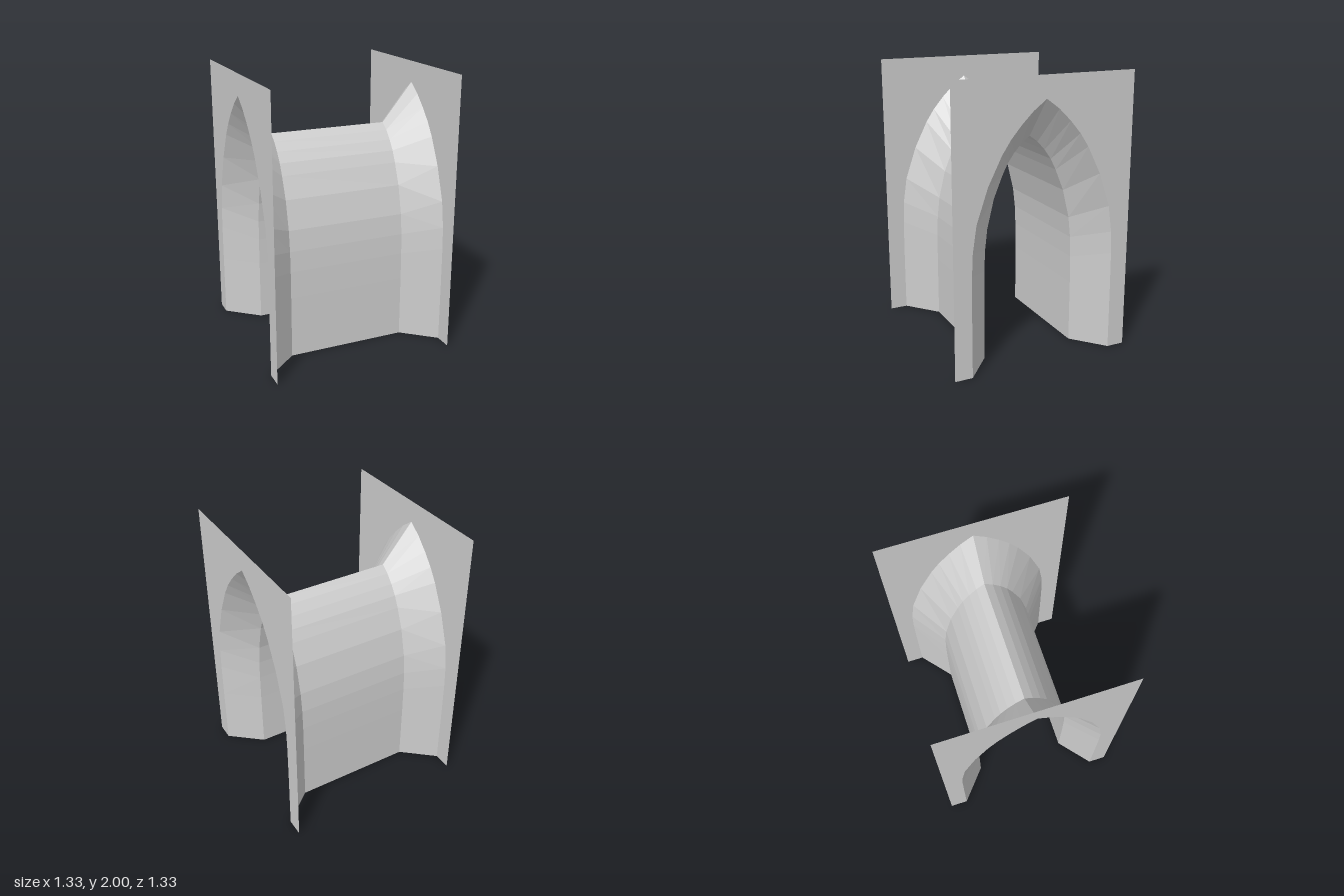
import * as THREE from 'three';

// Half profiles of the pointed arch as [half width, height], floor to apex
const INNER = [[0.343, 0], [0.343, 0.45], [0.341, 0.65], [0.335, 0.8], [0.318, 0.95], [0.268, 1.156],
  [0.205, 1.31], [0.165, 1.39], [0.115, 1.46], [0.06, 1.52], [0, 1.565]];
const OUTER = [[0.537, 0], [0.537, 0.45], [0.535, 0.72], [0.528, 0.88], [0.5, 1.07], [0.418, 1.31],
  [0.32, 1.505], [0.257, 1.6], [0.18, 1.69], [0.094, 1.775], [0, 1.845]];
const INNER_X = 0.435, FACE_X = 0.665, HALF_DEPTH = 0.665, HEIGHT = 2;

// Mirror a half profile into a full arch running from +z to -z
const fullArch = (half) => [...half, ...half.slice(0, -1).reverse().map(([z, y]) => [-z, y])];

// Sheet joining arch a at x = xa to arch b at x = xb
function loft(a, xa, b, xb) {
  const pos = [], index = [];
  a.forEach(([z, y], i) => pos.push(xa, y, z, xb, b[i][1], b[i][0]));
  for (let i = 0; i < a.length - 1; i++) {
    const k = i * 2;
    index.push(k, k + 1, k + 2, k + 1, k + 3, k + 2);
  }
  const g = new THREE.BufferGeometry();
  g.setAttribute('position', new THREE.Float32BufferAttribute(pos, 3));
  g.setIndex(index);
  g.computeVertexNormals();
  return g;
}

export function createModel() {
  const group = new THREE.Group();
  const stone = new THREE.MeshStandardMaterial({ color: 0xcccccc, side: THREE.DoubleSide, flatShading: true });
  stone.name = 'light grey stone';
  const add = (name, geometry) => {
    const mesh = new THREE.Mesh(geometry, stone);
    mesh.name = name;
    group.add(mesh);
    return mesh;
  };
  const inner = fullArch(INNER), outer = fullArch(OUTER);

  // Straight passage between the two splays
  add('passageVault', loft(inner, -INNER_X, inner, INNER_X));

  // Wall face outline, with the arch cut up from the floor
  const wall = new THREE.Shape();
  wall.moveTo(-HALF_DEPTH, 0);
  outer.slice().reverse().forEach(([z, y]) => wall.lineTo(z, y));
  wall.lineTo(HALF_DEPTH, 0);
  wall.lineTo(HALF_DEPTH, HEIGHT);
  wall.lineTo(-HALF_DEPTH, HEIGHT);
  wall.closePath();

  for (const [side, s] of [['left', 1], ['right', -1]]) {
    // Flared opening
    add(side + 'Splay', s > 0 ? loft(inner, INNER_X, outer, FACE_X) : loft(outer, -FACE_X, inner, -INNER_X));
    // Thin wall face
    const face = add(side + 'WallFace', new THREE.ShapeGeometry(wall));
    face.rotation.y = s * Math.PI / 2;
    face.position.x = s * FACE_X;
  }
  return group;
}
